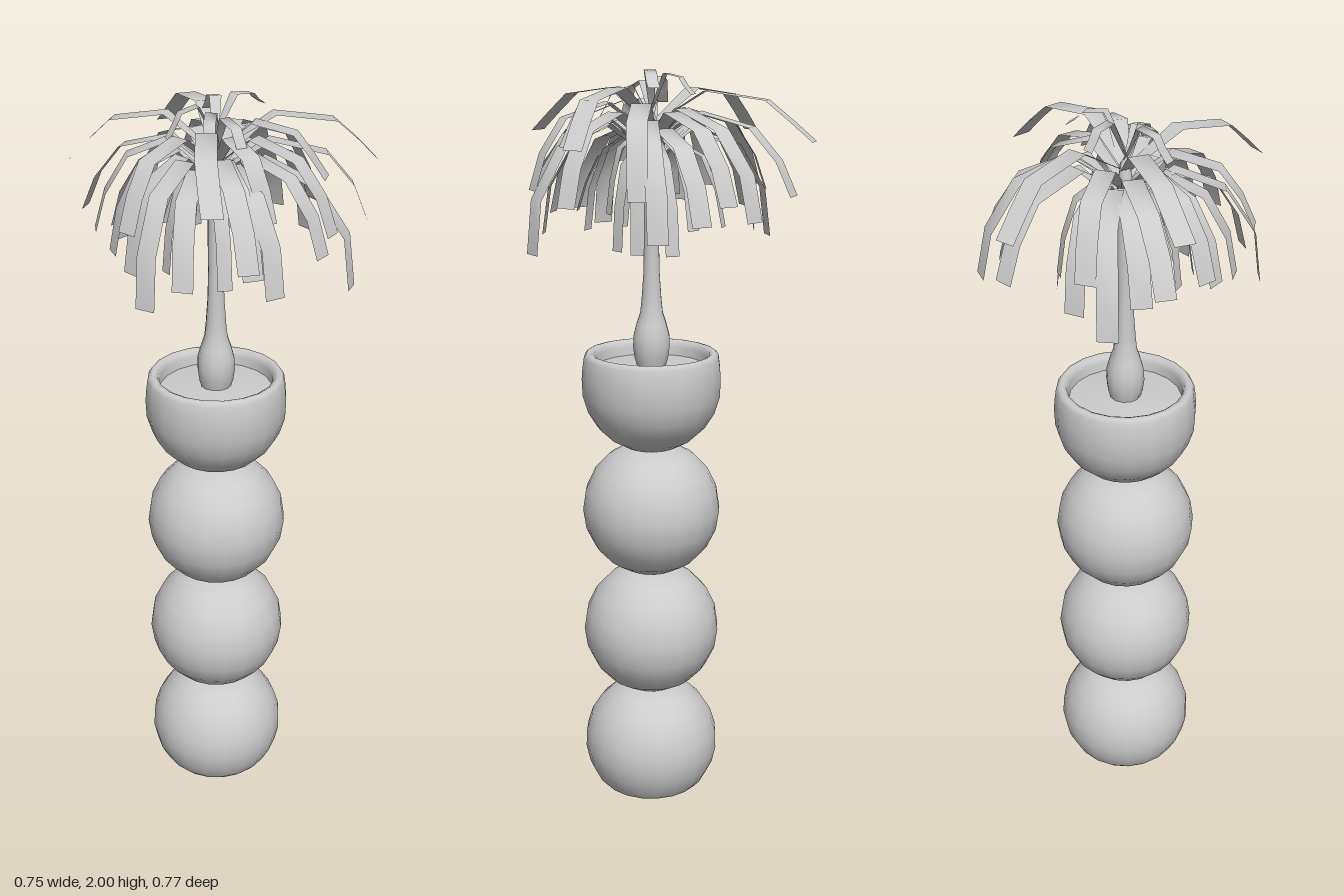
import * as THREE from 'three';

const CX = -0.015; // axis of the planter and trunk
const R = 0.188; // ball radius
const material = new THREE.MeshStandardMaterial({ color: 0xcccccc, side: THREE.DoubleSide });

function lathe(name, profile, segments) {
  const points = profile.map(([r, y]) => new THREE.Vector2(r, y));
  const mesh = new THREE.Mesh(new THREE.LatheGeometry(points, segments), material);
  mesh.name = name;
  mesh.position.x = CX;
  return mesh;
}

// Points on a ball's outline between two heights
function ballArc(centre, low, high, steps) {
  const a = Math.asin((low - centre) / R), b = Math.asin((high - centre) / R);
  return Array.from({ length: steps + 1 }, (_, i) => {
    const t = a + (b - a) * i / steps;
    return [R * Math.cos(t), centre + R * Math.sin(t)];
  });
}

// Arching ribbon from the crown to a tip at (x, z), swept slightly sideways,
// rising to peak and hanging to end; a deeper drop hangs more steeply
function leaf(x, z, peak, end, width = 0.052) {
  const drop = peak - end;
  const steps = [0, 0.35, 0.72, 0.8 + 0.5 * drop, 1];
  const heights = [peak - 0.09, peak, peak - 0.17 * drop, peak - 0.57 * drop, end];
  const dx = x - CX, length = Math.hypot(dx, z);
  const geometry = new THREE.PlaneGeometry(1, 1, 1, steps.length - 1);
  const position = geometry.attributes.position;
  steps.forEach((f, row) => {
    const half = width * (row === 0 ? 0.25 : 0.5);
    const sweep = 0.055 * length * Math.sin(Math.PI * f);
    for (let side = 0; side < 2; side++) {
      const s = sweep + (side ? half : -half);
      position.setXYZ(row * 2 + side, CX + dx * f - z / length * s, heights[row], z * f + dx / length * s);
    }
  });
  geometry.computeVertexNormals();
  const mesh = new THREE.Mesh(geometry, material);
  mesh.name = 'leaf';
  return mesh;
}

// Leaf tips: x, z, peak height, end height
const longLeaves = [
  [-0.22, -0.37, 1.95, 1.83], [-0.16, -0.36, 1.9, 1.7], [-0.01, -0.37, 1.91, 1.65],
  [0.05, -0.34, 1.9, 1.69], [0.365, -0.135, 1.96, 1.83], [0.35, -0.09, 1.9, 1.69],
  [0.335, 0.06, 1.87, 1.56], [0.29, 0.11, 1.92, 1.71], [0.27, 0.13, 1.88, 1.66],
  [0.12, 0.3, 1.88, 1.67], [0.05, 0.38, 1.95, 1.83], [-0.125, 0.315, 1.87, 1.57],
  [-0.175, 0.27, 1.92, 1.74], [-0.3, 0.09, 1.9, 1.68], [-0.38, -0.005, 1.95, 1.83],
  [-0.36, -0.04, 1.89, 1.69], [-0.29, -0.155, 1.86, 1.57],
];
const mediumLeaves = [
  [0.09, -0.29, 1.86, 1.64], [0.18, -0.23, 1.88, 1.6], [0.2, -0.18, 1.92, 1.7],
  [0.26, 0.015, 1.95, 1.82], [0.17, 0.215, 1.86, 1.58], [0.14, 0.15, 1.92, 1.74],
  [0.12, 0.235, 1.87, 1.63], [-0.035, 0.31, 1.85, 1.62], [-0.18, 0.22, 1.87, 1.62],
  [-0.245, 0.14, 1.88, 1.64], [-0.29, -0.07, 1.86, 1.64], [-0.24, -0.19, 1.9, 1.7],
  [-0.19, -0.2, 1.86, 1.6],
];
const shortLeaves = [
  [-0.055, -0.11, 1.99, 1.94], [0.08, -0.11, 2, 1.96], [-0.01, 0.105, 1.97, 1.86],
  [0.08, 0.1, 1.96, 1.87], [-0.12, 0.07, 1.98, 1.91],
];

export function createModel() {
  const model = new THREE.Group();

  // Stacked balls, the lowest cut flat to stand on
  model.add(lathe('baseBall', [[0, 0], [0.126, 0], [0.14, 0.008], ...ballArc(0.131, 0.025, 0.306, 7), [0, 0.306]], 20));
  for (const centre of [0.481, 0.833]) {
    model.add(lathe('ball', [[0, centre - 0.175], ...ballArc(centre, centre - 0.175, centre + 0.175, 8), [0, centre + 0.175]], 20));
  }

  // Open bowl with a rounded rim, and the soil inside it
  model.add(lathe('bowl', [
    [0, 1.009], ...ballArc(1.184, 1.009, 1.2, 5), [0.185, 1.23], [0.181, 1.258], [0.174, 1.268],
    [0.165, 1.27], [0.155, 1.265], [0.15, 1.25], [0.147, 1.215],
  ], 20));
  model.add(lathe('soil', [[0.149, 1.228], [0.08, 1.235], [0, 1.238]], 20));

  // Slender trunk swelling into a bulb at its foot
  model.add(lathe('trunk', [
    [0.036, 1.225], [0.046, 1.255], [0.05, 1.285], [0.049, 1.315], [0.041, 1.345], [0.031, 1.375],
    [0.027, 1.41], [0.022, 1.48], [0.02, 1.56], [0.021, 1.64], [0.02, 1.82], [0.012, 1.88], [0, 1.9],
  ], 12));

  // Crown of drooping leaves
  const crown = new THREE.Group();
  crown.name = 'crown';
  for (const tip of [...longLeaves, ...mediumLeaves]) crown.add(leaf(...tip));
  for (const tip of shortLeaves) crown.add(leaf(...tip, 0.03));

  // Inner skirt of small hanging leaves
  for (let i = 0; i < 12; i++) {
    const angle = i * 2.4, reach = 0.12 + 0.025 * (i % 4);
    crown.add(leaf(CX + reach * Math.cos(angle), reach * Math.sin(angle), 1.81 + 0.015 * (i % 3), 1.55 + 0.03 * (i % 5), 0.036));
  }
  model.add(crown);
  return model;
}
